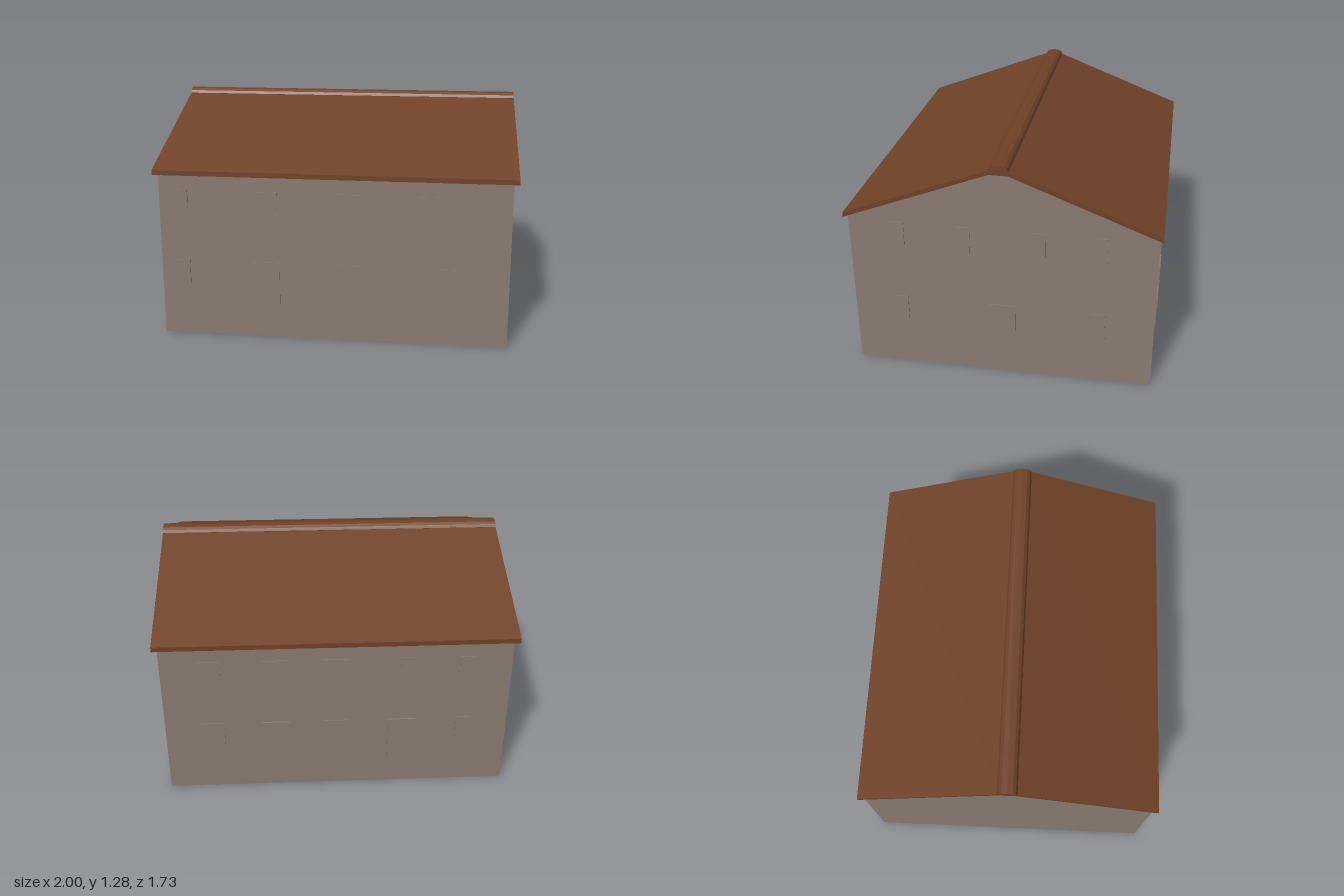
import * as THREE from 'three';

const HX = 0.957, HZ = 0.83;          // wall half length and half depth
const EAVE = 0.925, RIDGE = 1.228;    // wall heights
const ROOF_X = 0.985, ROOF_Z = 0.8475;

export function createModel() {
  const wall = new THREE.MeshStandardMaterial({ color: 0x8a7c72, side: THREE.DoubleSide });
  wall.name = 'stone wall';
  const tile = new THREE.MeshStandardMaterial({ color: 0x704227 });
  tile.name = 'roof tile';

  const house = new THREE.Group();
  house.name = 'house';
  const add = (parent, name, geometry, material) => {
    const mesh = new THREE.Mesh(geometry, material);
    mesh.name = name;
    parent.add(mesh);
    return mesh;
  };

  // Prism along x from a (z, y) profile
  const prism = (points, length) => {
    const shape = new THREE.Shape(points.map(([z, y]) => new THREE.Vector2(-z, y)));
    const g = new THREE.ExtrudeGeometry(shape, { depth: length, bevelEnabled: false });
    return g.translate(0, 0, -length / 2).rotateY(Math.PI / 2);
  };

  // Each wall is a group facing its own +z; the shell is open underneath
  const makeWall = (name, angle, distance, geometry) => {
    const group = new THREE.Group();
    group.name = name;
    group.rotation.y = angle;
    group.position.set(Math.sin(angle) * distance, 0, Math.cos(angle) * distance);
    add(group, name + 'Face', geometry, wall);
    house.add(group);
    return group;
  };
  const long = () => new THREE.PlaneGeometry(2 * HX, EAVE).translate(0, EAVE / 2, 0);
  const gable = () => new THREE.ShapeGeometry(new THREE.Shape([
    [-HZ, 0], [HZ, 0], [HZ, EAVE], [0.05, RIDGE], [-0.05, RIDGE], [-HZ, EAVE],
  ].map(([x, y]) => new THREE.Vector2(x, y))));
  const front = makeWall('frontWall', 0, HZ, long());
  const back = makeWall('backWall', Math.PI, HZ, long());
  const left = makeWall('leftGable', Math.PI / 2, HX, gable());
  makeWall('rightGable', -Math.PI / 2, HX, gable());

  // Thin window and door panels: centre, width, bottom, top
  const panel = (group, name, x, w, y0, y1, depth = 0.01) =>
    add(group, name, new THREE.BoxGeometry(w, y1 - y0, depth), wall)
      .position.set(x, (y0 + y1) / 2, 0);
  const upper = (g, x, w) => panel(g, 'upperWindow', x, w, 0.735, 0.835);
  const lower = (g, x, w) => panel(g, 'lowerWindow', x, w, 0.275, 0.435);
  const door = (g, x, depth) => panel(g, 'door', x, 0.153, 0.15, 0.435, depth);
  const WIDE = 0.135, NARROW = 0.075;

  [[-0.835, NARROW], [-0.37, WIDE], [0.082, WIDE], [0.517, WIDE]].forEach(([x, w]) => upper(front, x, w));
  [[-0.835, NARROW], [0.075, WIDE], [0.605, WIDE]].forEach(([x, w]) => lower(front, x, w));
  door(front, -0.37);

  [[-0.696, WIDE], [-0.339, WIDE], [-0.008, WIDE], [0.384, NARROW], [0.706, NARROW]]
    .forEach(([x, w]) => upper(back, x, w));
  [[-0.696, WIDE], [-0.008, WIDE], [0.706, NARROW]].forEach(([x, w]) => lower(back, x, w));
  [-0.339, 0.36].forEach((x) => door(back, x, 0.02));

  [-0.563, -0.203, 0.202, 0.53].forEach((x) => panel(left, 'upperWindow', x, NARROW, 0.74, 0.9));
  [-0.563, 0.53].forEach((x) => lower(left, x, NARROW));
  door(left, 0);

  // Roof slopes
  for (const [name, s] of [['frontRoof', 1], ['backRoof', -1]]) {
    add(house, name, prism([
      [s * 0.05, 1.228], [s * ROOF_Z, 0.918], [s * ROOF_Z, 0.945], [s * 0.05, 1.253],
    ], 2 * ROOF_X), tile);
  }

  // Rounded ridge cap
  const cap = [[0.052, 1.228], [0.055, 1.252], [0.046, 1.267], [0.03, 1.278]];
  const mirrored = cap.map(([z, y]) => [-z, y]).reverse();
  add(house, 'ridgeCap', prism([...cap, [0, 1.282], ...mirrored], 2 * ROOF_X), tile);

  // The house stands slightly turned
  house.rotation.y = -0.0178;
  const model = new THREE.Group();
  model.name = 'model';
  model.add(house);
  return model;
}
